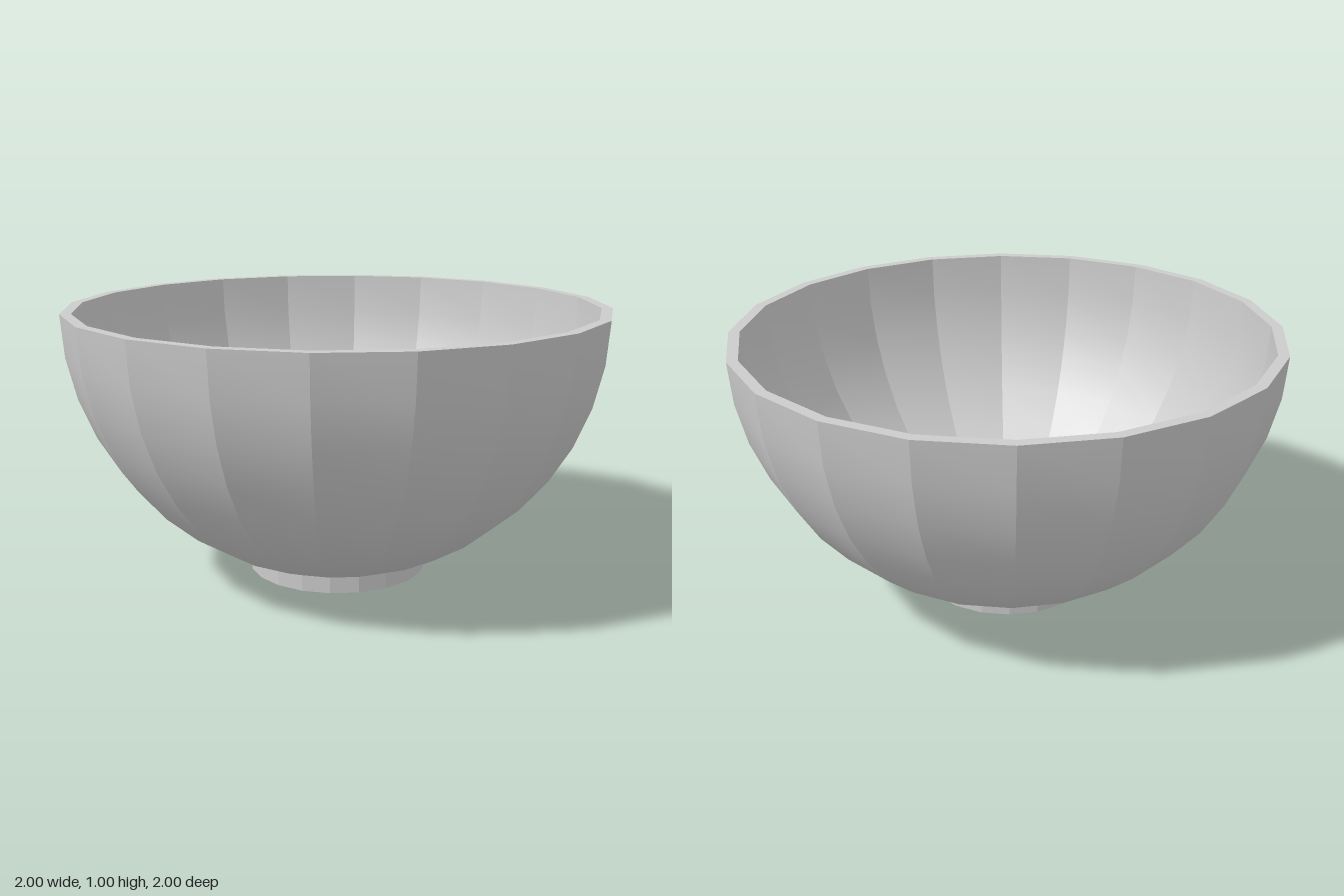
import * as THREE from 'three';
import { toCreasedNormals } from 'three/addons/utils/BufferGeometryUtils.js';

const SIDES = 20;
const STEP = Math.PI / 20;
const material = new THREE.MeshStandardMaterial({ color: 0xcccccc });

// Turned part: smooth along the curve, creased between the sides
function turned(name, points) {
  const geometry = toCreasedNormals(new THREE.LatheGeometry(points, SIDES), 0.166);
  const mesh = new THREE.Mesh(geometry, material);
  mesh.name = name;
  return mesh;
}

// Point on a hemisphere hanging from the rim at y = 1
const arcPoint = (radius, i) =>
  new THREE.Vector2(radius * Math.sin(i * STEP), 1 - radius * Math.cos(i * STEP));

export function createModel() {
  const model = new THREE.Group();
  model.name = 'bowl';

  // Bowl wall: up the outside, over the flat rim, down the inside to the flat floor
  const wall = [new THREE.Vector2(0.335, 0.06)];
  for (let i = 3; i <= 10; i++) wall.push(arcPoint(1, i));
  for (let i = 10; i >= 2; i--) wall.push(arcPoint(0.96, i));
  wall.push(new THREE.Vector2(0, wall[wall.length - 1].y));
  model.add(turned('bowlWall', wall));

  // Short solid foot
  model.add(turned('foot', [
    new THREE.Vector2(0, 0),
    new THREE.Vector2(0.335, 0),
    new THREE.Vector2(0.335, 0.06),
  ]));

  return model;
}
